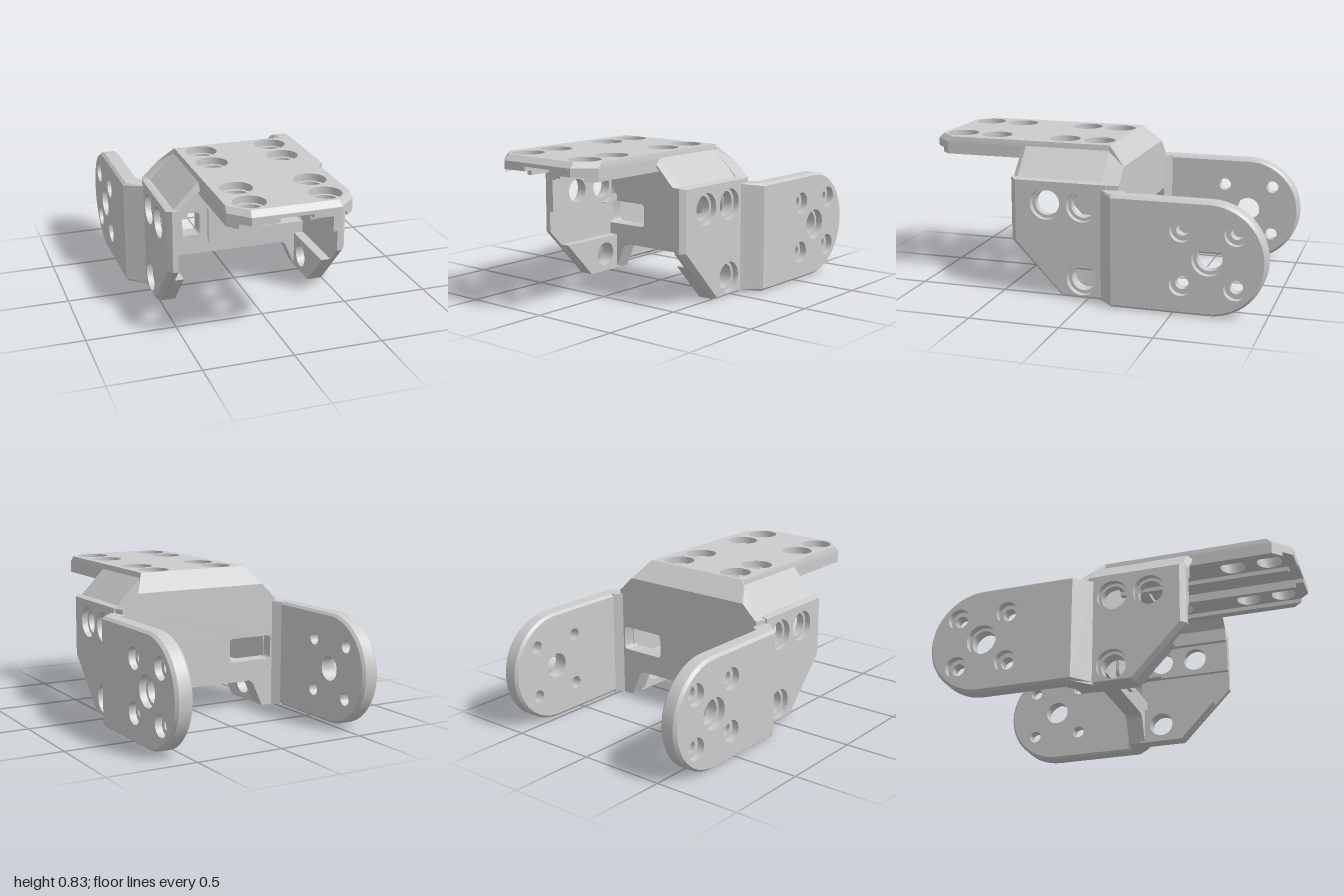
import * as THREE from 'three';
import { mergeGeometries, toCreasedNormals } from 'three/addons/utils/BufferGeometryUtils.js';

const material = new THREE.MeshStandardMaterial({ color: 0xcccccc });

// Outline from counter-clockwise [u, v] points, with round holes [u, v, radius] and hole paths
function outline(points, holes = [], paths = []) {
  const s = new THREE.Shape(points.map(p => new THREE.Vector2(...p)));
  for (const [u, v, r] of holes) s.holes.push(new THREE.Path().absarc(u, v, r, 0, Math.PI * 2, true));
  s.holes.push(...paths);
  return s;
}

// Extrude from w0 to w1; rule may move the outer points of either face
function layer(shape, w0, w1, rule, holes = []) {
  const g = new THREE.ExtrudeGeometry(shape, { depth: w1 - w0, bevelEnabled: false, curveSegments: 14 });
  g.translate(0, 0, w0);
  if (!rule) return g;
  const p = g.attributes.position, v = new THREE.Vector3();
  for (let i = 0; i < p.count; i++) {
    v.fromBufferAttribute(p, i);
    if (holes.some(([a, b, r]) => Math.hypot(v.x - a, v.y - b) < r + 0.004)) continue;
    rule(v);
    p.setXYZ(i, v.x, v.y, v.z);
  }
  return g;
}

const sideways = g => g.rotateY(Math.PI / 2); // (u, v, w) -> (-z, y, x)
const upright = g => g.rotateX(-Math.PI / 2); // (u, v, w) -> (x, -z, y)
const sized = (spots, r) => spots.map(([u, v]) => [u, v, r]);

function mirrored(geometry) {
  const g = geometry.clone().scale(-1, 1, 1);
  for (const a of Object.values(g.attributes)) {
    const n = a.itemSize;
    for (let t = 0; t < a.array.length; t += 3 * n)
      for (let k = 0; k < n; k++) {
        const keep = a.array[t + k];
        a.array[t + k] = a.array[t + n + k];
        a.array[t + n + k] = keep;
      }
  }
  return g;
}

function roundedRect(x0, y0, x1, y1, r) {
  const p = new THREE.Path();
  p.absarc(x1 - r, y1 - r, r, 0, Math.PI / 2);
  p.absarc(x0 + r, y1 - r, r, Math.PI / 2, Math.PI);
  p.absarc(x0 + r, y0 + r, r, Math.PI, Math.PI * 1.5);
  p.absarc(x1 - r, y0 + r, r, Math.PI * 1.5, Math.PI * 2);
  p.closePath();
  return p;
}

const both = half => [...half, ...half.map(([x, y]) => [-x, y]).reverse()];

export function createModel() {
  const model = new THREE.Group();
  const add = (name, parts) => {
    const mesh = new THREE.Mesh(toCreasedNormals(mergeGeometries(parts), 0.5), material);
    mesh.name = name;
    model.add(mesh);
  };
  const addPair = (name, parts) => {
    add('left' + name, parts);
    add('right' + name, parts.map(mirrored));
  };

  // Top plate with counterbored holes, a centre slot and channels underneath
  const plateSpots = [];
  for (const x of [-0.205, 0.205]) for (const z of [0.03, 0.235, 0.65, 0.86]) plateSpots.push([x, -z]);
  const plateHalf = [[0.24, -1], [0.34, -0.9], [0.34, 0.07]];
  const platePts = both(plateHalf);
  const small = sized(plateSpots, 0.07), big = sized(plateSpots, 0.088);
  const edge = layer(outline([[0.29, -0.95], [0.34, -0.9], [0.34, 0.07], [0.29, 0.07]]), 0.73, 0.755);
  const rib = layer(outline([[0.09, -0.95], [0.12, -0.95], [0.12, 0.07], [0.09, 0.07]]), 0.73, 0.755);
  add('topPlate', [
    layer(outline(both([[0.09, -0.1], [0.09, -1], ...plateHalf]), small), 0.755, 0.78),
    layer(outline(platePts, small), 0.78, 0.79),
    layer(outline(platePts, big), 0.79, 0.8),
    layer(outline(platePts, big), 0.8, 0.83, v => {
      if (v.z < 0.82) return;
      v.x *= 0.985;
      if (v.y < -0.85) v.y += 0.03;
    }, big),
    edge, mirrored(edge), rib, mirrored(rib),
  ].map(upright));

  // Rear wall with two windows, an arched bottom and a sloping top edge
  const wallPts = both([[0.33, 0.16], [0.35, 0.145], [0.415, 0], [0.515, 0], [0.515, 0.645],
    [0.485, 0.655], [0.345, 0.795], [0.335, 0.83]]);
  const windows = [roundedRect(0.19, 0.28, 0.47, 0.42, 0.02), roundedRect(-0.47, 0.28, -0.19, 0.42, 0.02)];
  add('rearWall', [layer(outline(wallPts, [], windows), -0.17, -0.07, v => {
    if (v.z > -0.1) return;
    if (v.y > 0.7) {
      v.x = Math.sign(v.x) * (v.y > 0.8 ? 0.405 : 0.41);
      v.y = v.y > 0.8 ? 0.73 : 0.727;
    } else if (Math.abs(v.x) > 0.5) v.x *= 0.97;
  })]);

  // Raised T-shaped pad on the front of the wall
  const pad = new THREE.Shape();
  pad.moveTo(0.34, 0.755).lineTo(0.41, 0.69).lineTo(0.41, 0.47).lineTo(0.2, 0.47);
  pad.quadraticCurveTo(0.14, 0.47, 0.14, 0.4).lineTo(0.14, 0.25).quadraticCurveTo(0.14, 0.21, 0.1, 0.21);
  pad.lineTo(-0.1, 0.21).quadraticCurveTo(-0.14, 0.21, -0.14, 0.25).lineTo(-0.14, 0.4);
  pad.quadraticCurveTo(-0.14, 0.47, -0.2, 0.47).lineTo(-0.41, 0.47).lineTo(-0.41, 0.69).lineTo(-0.34, 0.755);
  add('wallPad', [layer(pad, -0.08, -0.05)]);

  // Sloping shoulders joining the plate to the ears
  const shoulder = outline([[0.34, 0.8], [0.3, 0.8], [0.3, 0.755], [0.34, 0.755], [0.41, 0.69], [0.41, 0.65],
    [0.485, 0.65]]);
  addPair('Shoulder', [
    layer(shoulder, -0.07, 0.42),
    layer(shoulder, 0.42, 0.45, v => {
      if (v.z > 0.44 && v.x + v.y > 1.12) v.y -= 0.03;
    }),
  ]);

  // Side ears: outer plate with counterbores, plus inner bosses
  const earSpots = [[-0.245, 0.52], [-0.035, 0.52], [-0.035, 0.105]];
  const earPts = [[-0.45, 0.655], [-0.45, 0.3], [-0.16, 0], [0.1, 0], [0.1, 0.655]];
  const earBig = sized(earSpots, 0.088);
  const upperHoles = sized(earSpots.slice(0, 2), 0.07);
  const slottedBoss = new THREE.Shape(); // pocket behind the holes, open to the front
  slottedBoss.moveTo(-0.035, 0.42).lineTo(0.1, 0.42).lineTo(0.1, 0.655).lineTo(-0.45, 0.655).lineTo(-0.45, 0.61);
  slottedBoss.lineTo(-0.035, 0.61).absarc(-0.035, 0.517, 0.093, Math.PI / 2, -Math.PI / 2, true);
  addPair('Ear', [
    layer(outline(earPts, sized(earSpots, 0.07)), 0.465, 0.485),
    layer(outline(earPts, earBig), 0.485, 0.495),
    layer(outline(earPts, earBig), 0.495, 0.52, v => {
      if (v.z < 0.51) return;
      if (v.x < 0) v.x = 0.1 + (v.x - 0.1) * 0.945;
      v.y = 0.4 + (v.y - 0.4) * 0.97;
    }, earBig),
    layer(slottedBoss, 0.41, 0.44),
    layer(outline([[-0.45, 0.42], [0.1, 0.42], [0.1, 0.655], [-0.45, 0.655]], upperHoles), 0.44, 0.465),
    layer(outline([[-0.36, 0.21], [-0.16, 0], [0.1, 0], [0.1, 0.21]], [[-0.035, 0.105, 0.07]]), 0.41, 0.465),
  ].map(sideways));

  // Slanted webs stepping outward from the wall to the arms
  const web = outline([[0.48, 0.07], [0.515, 0.07], [0.62, 0.16], [0.62, 0.21], [0.52, 0.21], [0.48, 0.17]]);
  const webEnd = end => v => {
    if (Math.abs(v.z - end) < 0.004 && v.x > 0.6) v.x -= 0.017;
  };
  addPair('Web', [
    layer(web, 0, 0.015, webEnd(0)),
    layer(web, 0.015, 0.605),
    layer(web, 0.605, 0.62, webEnd(0.62)),
  ].map(upright));

  // Round-ended rear arms with a centre hole and four small ones
  const armPts = [[0.2, 0.62], [0.2, 0]];
  for (let i = 0; i <= 28; i++) {
    const a = Math.PI * (i / 28 - 0.5);
    armPts.push([0.69 + 0.31 * Math.cos(a), 0.31 + 0.31 * Math.sin(a)]);
  }
  const armHoles = (centre, corner) => {
    const list = [[0.69, 0.31, centre]];
    for (const u of [-1, 1]) for (const v of [-1, 1]) list.push([0.69 + 0.146 * u, 0.31 + 0.147 * v, corner]);
    return list;
  };
  const narrow = armHoles(0.07, 0.036), wide = armHoles(0.088, 0.062);
  const shrink = at => v => {
    if (Math.abs(v.z - at) > 0.004) return;
    v.y = 0.31 + (v.y - 0.31) * 0.955;
    if (v.x > 0.69) v.x = 0.69 + (v.x - 0.69) * 0.955;
  };
  addPair('Arm', [
    layer(outline(armPts, narrow), 0.52, 0.535, shrink(0.52), narrow),
    layer(outline(armPts, narrow), 0.535, 0.58),
    layer(outline(armPts, wide), 0.58, 0.603),
    layer(outline(armPts, wide), 0.603, 0.62, shrink(0.62), wide),
  ].map(sideways));

  return model;
}
